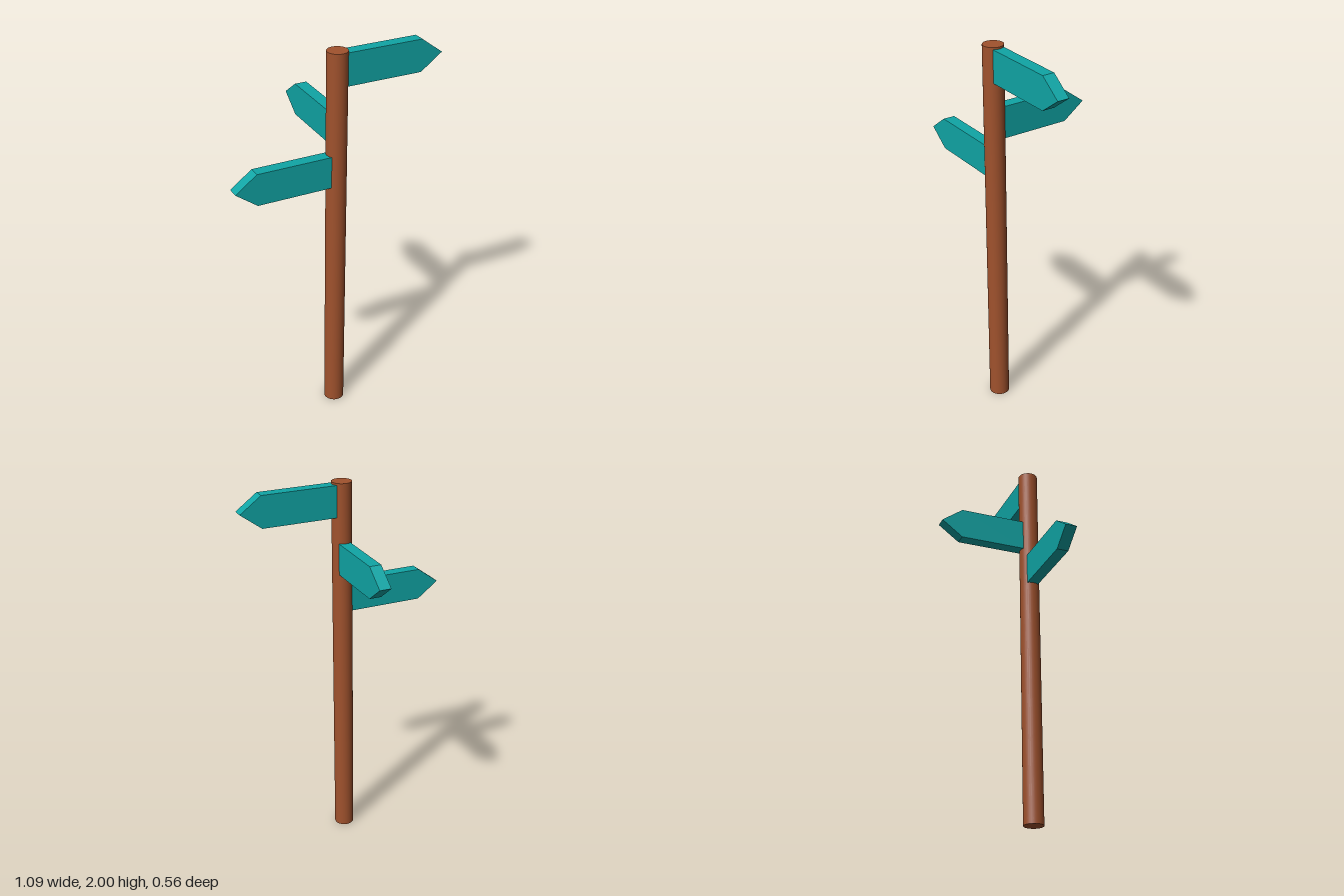
import * as THREE from 'three';

const HALF_HEIGHT = 0.083;
const THICKNESS = 0.062;
const POINT = 0.112;

// Arrow board running along +x from 0, centred on y and z
function arrowBoard(length) {
  const shoulder = length - POINT;
  const shape = new THREE.Shape([
    new THREE.Vector2(0, -HALF_HEIGHT),
    new THREE.Vector2(shoulder, -HALF_HEIGHT),
    new THREE.Vector2(length, 0),
    new THREE.Vector2(shoulder, HALF_HEIGHT),
    new THREE.Vector2(0, HALF_HEIGHT),
  ]);
  const geometry = new THREE.ExtrudeGeometry(shape, { depth: THICKNESS, bevelEnabled: false });
  return geometry.translate(0, 0, -THICKNESS / 2);
}

export function createModel() {
  const model = new THREE.Group();
  model.name = 'signpost';
  const wood = new THREE.MeshStandardMaterial({ color: 0xa0522d });
  const teal = new THREE.MeshStandardMaterial({ color: 0x10a5a5 });

  // Round post
  const post = new THREE.Mesh(new THREE.CylinderGeometry(0.052, 0.052, 2, 32), wood);
  post.name = 'post';
  post.position.set(-0.003, 1, 0.228);
  model.add(post);

  // Three boards, each turned to its own direction
  const boards = [
    { name: 'leftBoard', position: [0.036, 1.907, 0.226], turn: 0, length: 0.509 },
    { name: 'backBoard', position: [0, 1.606, 0.19], turn: Math.PI / 2, length: 0.47 },
    { name: 'rightBoard', position: [-0.043, 1.393, 0.229], turn: Math.PI, length: 0.502 },
  ];
  for (const { name, position, turn, length } of boards) {
    const board = new THREE.Mesh(arrowBoard(length), teal);
    board.name = name;
    board.position.set(...position);
    board.rotation.y = turn;
    model.add(board);
  }
  return model;
}
